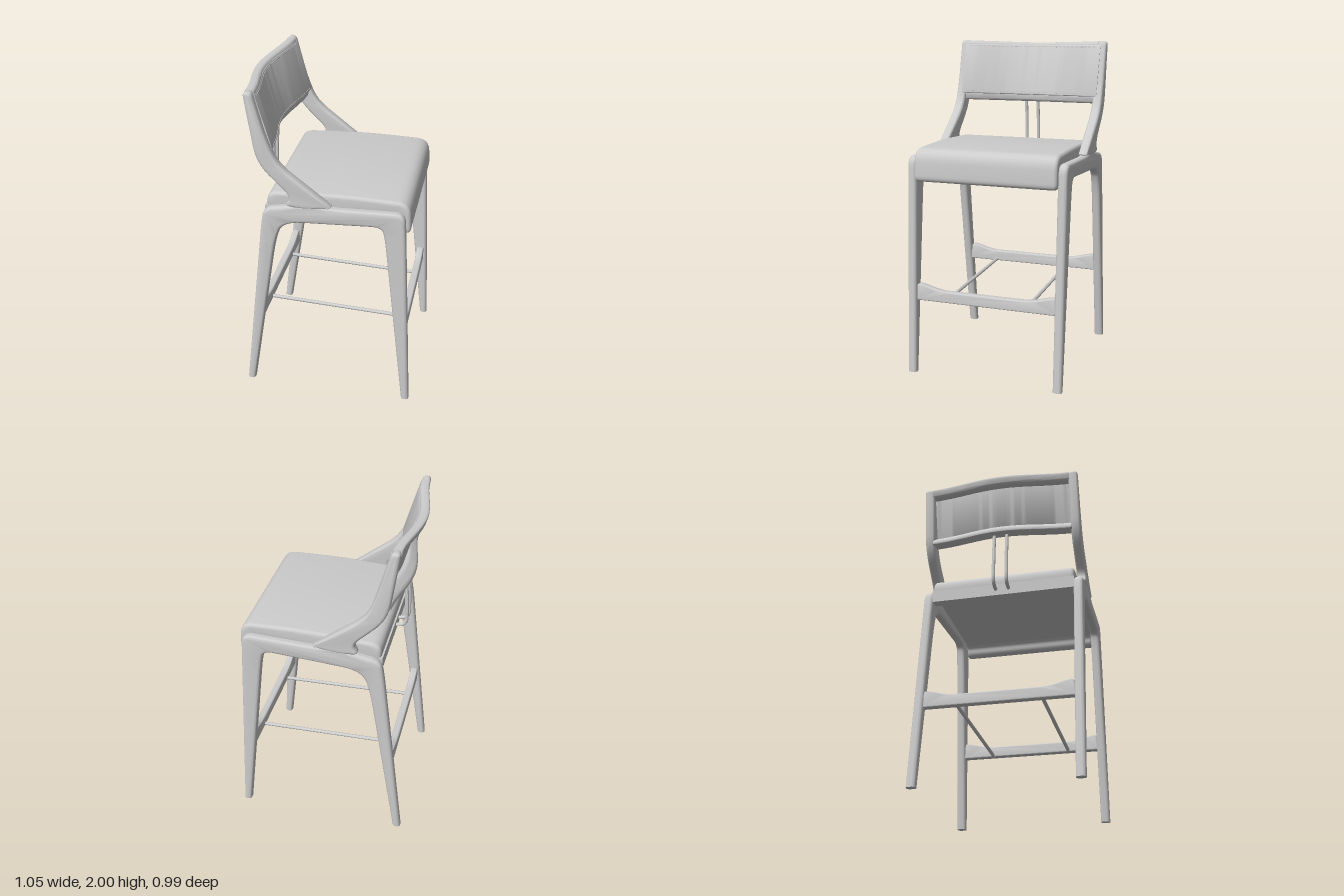
import * as THREE from 'three';
import { toCreasedNormals } from 'three/addons/utils/BufferGeometryUtils.js';

const grey = new THREE.MeshStandardMaterial({ color: 0xcccccc });
grey.name = 'light grey';

// Closed outline from [x, y, cornerRadius] points
function outline(pts) {
  const s = new THREE.Shape();
  const n = pts.length;
  pts.forEach(([x, y, r = 0], i) => {
    const p = new THREE.Vector2(x, y);
    const toward = (q) => {
      const d = new THREE.Vector2(q[0] - x, q[1] - y);
      return p.clone().add(d.setLength(Math.min(r, d.length() * 0.48)));
    };
    const a = toward(pts[(i + n - 1) % n]);
    const b = toward(pts[(i + 1) % n]);
    if (i === 0) s.moveTo(a.x, a.y);
    else s.lineTo(a.x, a.y);
    if (r > 0) s.quadraticCurveTo(x, y, b.x, b.y);
  });
  s.closePath();
  return s;
}

// Slab of total thickness w, centred on z = 0, with rounded edges
function slab(pts, w, bevel, steps = 1) {
  const g = new THREE.ExtrudeGeometry(outline(pts), {
    depth: w - 2 * bevel, steps, curveSegments: 6, bevelEnabled: bevel > 0,
    bevelThickness: bevel, bevelSize: bevel, bevelOffset: -bevel, bevelSegments: 5,
  });
  return g.translate(0, 0, -w / 2 + bevel);
}

function edit(g, fn) {
  const p = g.attributes.position;
  const v = new THREE.Vector3();
  for (let i = 0; i < p.count; i++) {
    fn(v.fromBufferAttribute(p, i));
    p.setXYZ(i, v.x, v.y, v.z);
  }
  return g;
}

// Backward curve of the backrest across the width
const bow = (z) => -0.03 * (1 + Math.cos(Math.PI * Math.min(1, Math.abs(z) / 0.46)));

function curvedRail(pts, w, sag = 0) {
  return edit(slab(pts, w, 0, 40), (v) => {
    v.y += (sag * bow(v.z)) / 0.06;
    v.x += bow(v.z);
  });
}

export function createModel() {
  const root = new THREE.Group();
  root.name = 'barStool';
  function add(name, geo, x = 0, y = 0, z = 0) {
    const m = new THREE.Mesh(toCreasedNormals(geo, 0.6), grey);
    m.name = name;
    m.position.set(x, y, z);
    root.add(m);
    return m;
  }

  // Side frames: two tapered legs and a rail, with the back upright joined on top
  const legFrame = [
    [-0.53, -0.03], [-0.385, 1.2, 0.1], [-0.365, 1.295, 0.06], [-0.2, 1.325, 0.04],
    [-0.1, 1.35, 0.05], [0.04, 1.33, 0.05], [0.455, 1.345, 0.06],
    [0.465, 1.2, 0.1], [0.525, -0.03], [0.478, -0.03], [0.345, 1.17, 0.1],
    [0.325, 1.245, 0.06], [-0.25, 1.212, 0.12], [-0.305, 1.09, 0.15], [-0.482, -0.03],
  ];
  const upright = [
    [-0.24, 1.325, 0.03], [-0.12, 1.31, 0.08], [0.04, 1.335, 0.02], [-0.27, 1.575, 0.09],
    [-0.33, 1.72, 0.1], [-0.402, 2.0, 0.025], [-0.452, 2.0, 0.03], [-0.395, 1.58, 0.1],
    [-0.2, 1.385, 0.06],
  ];
  for (const side of [-1, 1]) {
    const name = side > 0 ? 'Left' : 'Right';
    const z = side * 0.467;
    const g = edit(slab(legFrame, 0.056, 0.02), (v) => { v.y = Math.max(0, v.y); });
    add('legFrame' + name, g, 0, 0, z);
    add('backUpright' + name, slab(upright, 0.06, 0.018), 0, 0, z);
  }

  // Seat cushion with a front edge that wraps down
  add('seat', slab([
    [-0.36, 1.27, 0.03], [-0.355, 1.375, 0.07], [-0.2, 1.385, 0.1], [0.1, 1.4, 0.2],
    [0.478, 1.39, 0.08], [0.488, 1.195, 0.04], [0.425, 1.195, 0.04], [0.41, 1.265, 0.04],
  ], 0.884, 0.022));
  add('rearSeatRail', new THREE.BoxGeometry(0.06, 0.075, 0.89), -0.338, 1.252, 0);

  // Backrest: top rail, lower rail and thin curved panel
  add('backTopRail', curvedRail([
    [-0.456, 1.995, 0.02], [-0.4, 1.998, 0.02], [-0.384, 1.935, 0.015], [-0.44, 1.94, 0.02],
  ], 0.89, 0.01));
  add('backLowerRail', curvedRail([
    [-0.403, 1.61, 0.012], [-0.4, 1.64, 0.015], [-0.345, 1.685, 0.02],
    [-0.315, 1.66, 0.015], [-0.325, 1.612, 0.015],
  ], 0.89, 0.005));
  add('backPanel', curvedRail([
    [-0.41, 1.972, 0.006], [-0.393, 1.978, 0.008], [-0.303, 1.658, 0.008], [-0.322, 1.655, 0.006],
  ], 0.92, 0.005));

  // Stitches along the panel's top and bottom edges
  for (const [x, y] of [[-0.389, 1.964], [-0.307, 1.673]]) {
    for (let i = -14; i <= 14; i++) {
      const z = i * 0.03;
      const stitch = add('stitch', new THREE.BoxGeometry(0.004, 0.004, 0.02),
        x + bow(z), y + bow(z) * 0.083, z);
      stitch.rotation.y = Math.atan((bow(z + 0.01) - bow(z - 0.01)) / 0.02);
    }
  }

  // Twin metal rods hooking from the lower back rail under the seat
  for (const z of [-0.04, 0.04]) {
    const path = new THREE.CatmullRomCurve3([
      [-0.41, 1.64], [-0.422, 1.5], [-0.429, 1.36], [-0.428, 1.295], [-0.41, 1.267], [-0.35, 1.252],
    ].map(([x, y]) => new THREE.Vector3(x, y, z)));
    add('backRod', new THREE.TubeGeometry(path, 32, 0.011, 10));
  }

  // Footrest bars: raised at the ends, lower in the middle
  const half = [[0.44, 0.105, 0.02], [0.395, 0.1, 0.04], [0.29, 0.07, 0.05]];
  const bar = [
    [-0.45, 0], [0.45, 0], ...half,
    ...half.slice().reverse().map(([x, y, r]) => [-x, y, r]),
  ];
  for (const [name, x, y] of [['frontFootBar', 0.457, 0.457], ['rearFootBar', -0.43, 0.485]]) {
    add(name, slab(bar, 0.045, 0.01).rotateY(Math.PI / 2), x, y, 0);
  }

  // Long rods joining the footrest bars
  for (const z of [-0.25, 0.25]) {
    const path = new THREE.LineCurve3(
      new THREE.Vector3(-0.43, 0.5, z), new THREE.Vector3(0.45, 0.47, z));
    add('footRod', new THREE.TubeGeometry(path, 1, 0.011, 12));
  }
  return root;
}
